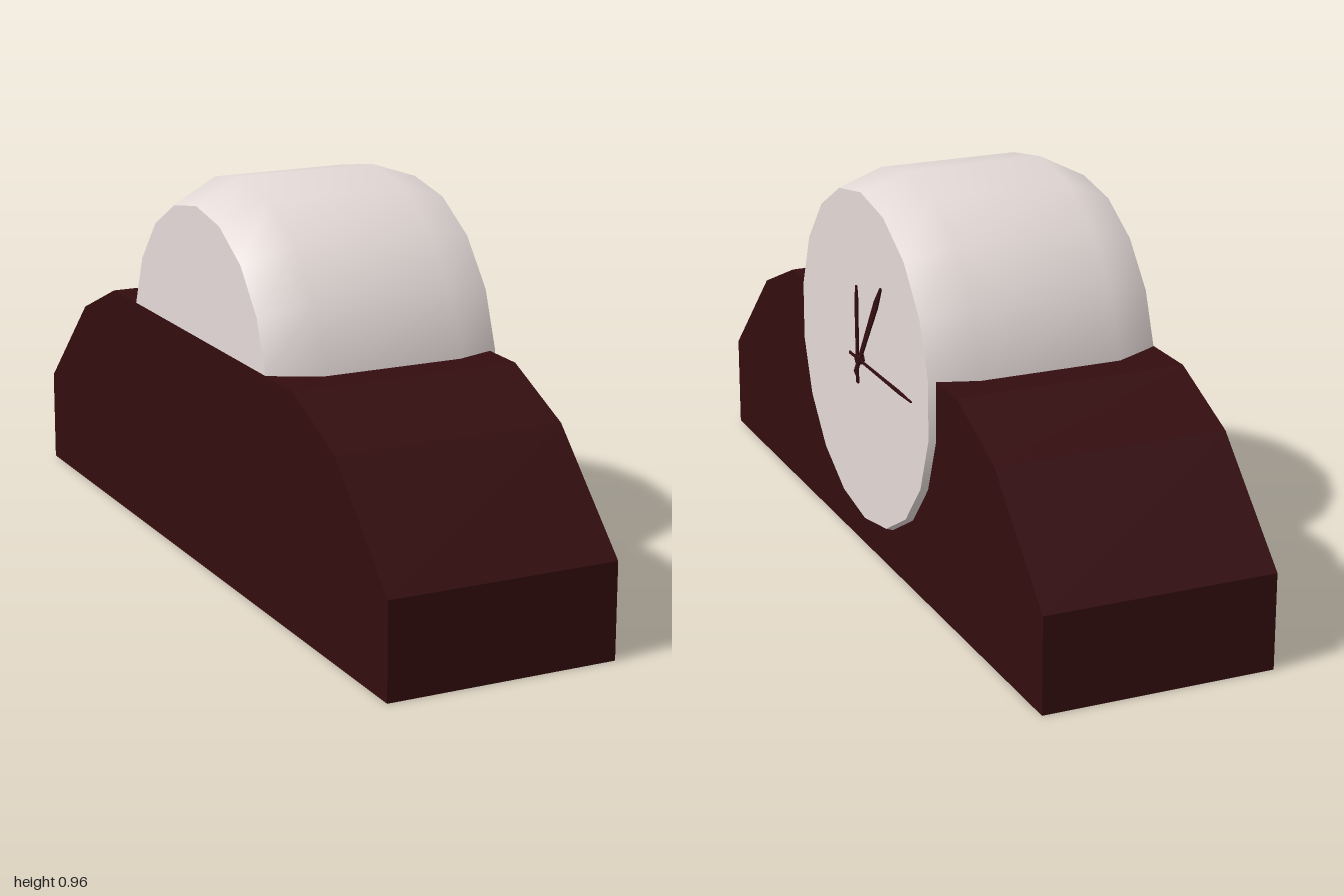
import * as THREE from 'three';

const wood = new THREE.MeshStandardMaterial({ name: 'dark mahogany', color: 0x340d0f });
const ivory = new THREE.MeshStandardMaterial({ name: 'ivory', color: 0xe4dad8 });

const CENTRE_Y = 0.503; // height of the clock axis
const SIDES = 18;

// Extrude a side-on outline (right = -z, up = y) along +x, starting at x.
function slab(name, points, x, depth, material) {
  const shape = new THREE.Shape(points.map(([u, v]) => new THREE.Vector2(u, v)));
  const geometry = new THREE.ExtrudeGeometry(shape, { depth, bevelEnabled: false });
  geometry.rotateY(Math.PI / 2);
  geometry.translate(x, 0, 0);
  const mesh = new THREE.Mesh(geometry, material);
  mesh.name = name;
  return mesh;
}

// Turn a profile of [radius, x] pairs round the clock axis.
function turned(name, profile, material) {
  const points = profile.map(([r, x]) => new THREE.Vector2(r, x));
  const geometry = new THREE.LatheGeometry(points, SIDES, Math.PI / 2);
  geometry.rotateZ(-Math.PI / 2);
  geometry.translate(0, CENTRE_Y, 0);
  const mesh = new THREE.Mesh(geometry, material);
  mesh.name = name;
  return mesh;
}

// A leaf-shaped hand: a short tail, a narrow waist at the hub and a pointed tip.
function hand(name, tail, length, width, angle, x) {
  const w = width / 2;
  const outline = [
    [-w * 0.7, -tail], [w * 0.7, -tail], [w * 0.6, 0], [w, length * 0.78],
    [w * 0.3, length], [-w * 0.3, length], [-w, length * 0.78], [-w * 0.6, 0],
  ];
  const mesh = slab(name, outline, x, 0.004, wood);
  mesh.position.y = CENTRE_Y;
  mesh.rotation.x = angle;
  return mesh;
}

export function createModel() {
  const model = new THREE.Group();
  model.name = 'mantelClock';

  // Stepped wooden base, mirrored about the middle
  const half = [[1, 0], [1, 0.235], [0.745, 0.485], [0.535, 0.575]];
  const mirrored = half.map(([u, v]) => [-u, v]).reverse();
  model.add(slab('base', [...half, ...mirrored], -0.305, 0.573, wood));

  // Round clock case with chamfered ends
  const drum = new THREE.Group();
  drum.name = 'drum';
  drum.add(
    turned('drumWall', [[0.395, -0.304], [0.456, -0.185], [0.456, 0.17], [0.417, 0.285]], ivory),
    turned('dial', [[0.417, 0.285], [0, 0.285]], ivory),
    turned('backPlate', [[0, -0.304], [0.395, -0.304]], ivory),
  );
  model.add(drum);

  // Hands and the pin that holds them
  const hands = new THREE.Group();
  hands.name = 'hands';
  hands.add(
    hand('minuteHand', 0.055, 0.262, 0.022, -0.58, 0.291),
    hand('hourHand', 0.06, 0.187, 0.018, 0, 0.297),
    hand('secondHand', 0.06, 0.335, 0.009, -Math.PI / 2, 0.294),
  );
  const pin = new THREE.Mesh(new THREE.CylinderGeometry(0.014, 0.014, 0.016, 12), wood);
  pin.name = 'handPin';
  pin.rotation.z = -Math.PI / 2;
  pin.position.set(0.293, CENTRE_Y, 0);
  hands.add(pin);
  model.add(hands);

  return model;
}
